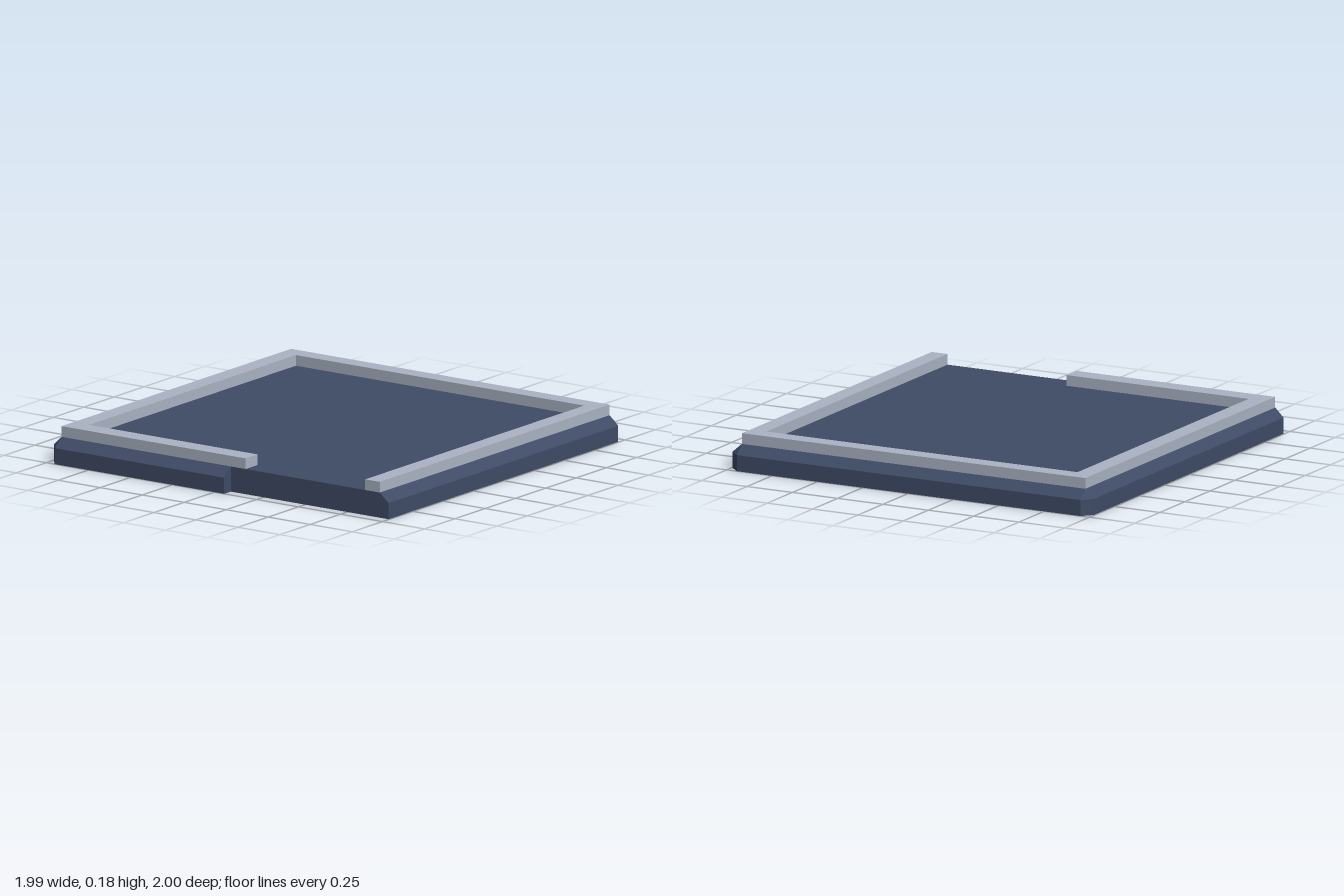
import * as THREE from 'three';

const baseBlue = new THREE.MeshStandardMaterial({ color: 0x3f4b66, flatShading: true });
baseBlue.name = 'slateBlue';
const rimGrey = new THREE.MeshStandardMaterial({ color: 0xabb4c4, flatShading: true });
rimGrey.name = 'paleGrey';

const EDGE = 0.08, TOP = 0.125, RIM = 0.053;

// Inner (floor) corner x, z values and the outer skirt limits
const L = -0.95, R = 0.944, B = -0.95, F = 0.945;
const OX = 0.996, OZ = 1, STEP = 0.058;

function mesh(name, geometry, material) {
  const m = new THREE.Mesh(geometry, material);
  m.name = name;
  return m;
}

// Joins stacked rings of [x, y, z] points with flat-shaded quads
function loftRings(rings) {
  const pos = [];
  for (let k = 0; k < rings.length - 1; k++) {
    const lo = rings[k], hi = rings[k + 1];
    for (let i = 0; i < lo.length; i++) {
      const j = (i + 1) % lo.length;
      pos.push(...lo[i], ...lo[j], ...hi[j], ...lo[i], ...hi[j], ...hi[i]);
    }
  }
  const g = new THREE.BufferGeometry();
  g.setAttribute('position', new THREE.Float32BufferAttribute(pos, 3));
  g.computeVertexNormals();
  return g;
}

export function createModel() {
  const model = new THREE.Group();
  model.name = 'rimmedFloorTile';

  // Outer outline with cut corners and a stepped front edge
  const outer = [
    [OX, F], [OX, B], [R, -OZ], [L, -OZ], [-OX, B],
    [-OX, F], [L, OZ], [STEP, OZ], [STEP, F],
  ];
  const clamp = THREE.MathUtils.clamp;
  const base = new THREE.Group();
  base.name = 'base';
  base.add(mesh('bevelledSkirt', loftRings([
    outer.map(([x, z]) => [x, 0, z]),
    outer.map(([x, z]) => [x, EDGE, z]),
    outer.map(([x, z]) => [clamp(x, L, R), TOP, clamp(z, B, F)]),
  ]), baseBlue));

  // Floor and underside
  const floor = new THREE.PlaneGeometry(R - L, F - B).rotateX(-Math.PI / 2);
  floor.translate((L + R) / 2, TOP, (B + F) / 2);
  base.add(mesh('floor', floor, baseBlue));
  const under = new THREE.Shape(outer.map(([x, z]) => new THREE.Vector2(x, z)));
  base.add(mesh('underside', new THREE.ShapeGeometry(under).rotateX(Math.PI / 2), baseBlue));
  model.add(base);

  // Raised rim, open at the front
  const rim = [
    [R, F], [R, B], [L, B], [L, F], [0.145, F], [0.145, 0.846],
    [-0.858, 0.846], [-0.858, -0.862], [0.857, -0.862], [0.857, F],
  ];
  const rimShape = new THREE.Shape(rim.map(([x, z]) => new THREE.Vector2(x, -z)));
  const rimGeometry = new THREE.ExtrudeGeometry(rimShape, { depth: RIM, bevelEnabled: false });
  rimGeometry.rotateX(-Math.PI / 2).translate(0, TOP, 0);
  model.add(mesh('raisedRim', rimGeometry, rimGrey));

  return model;
}
